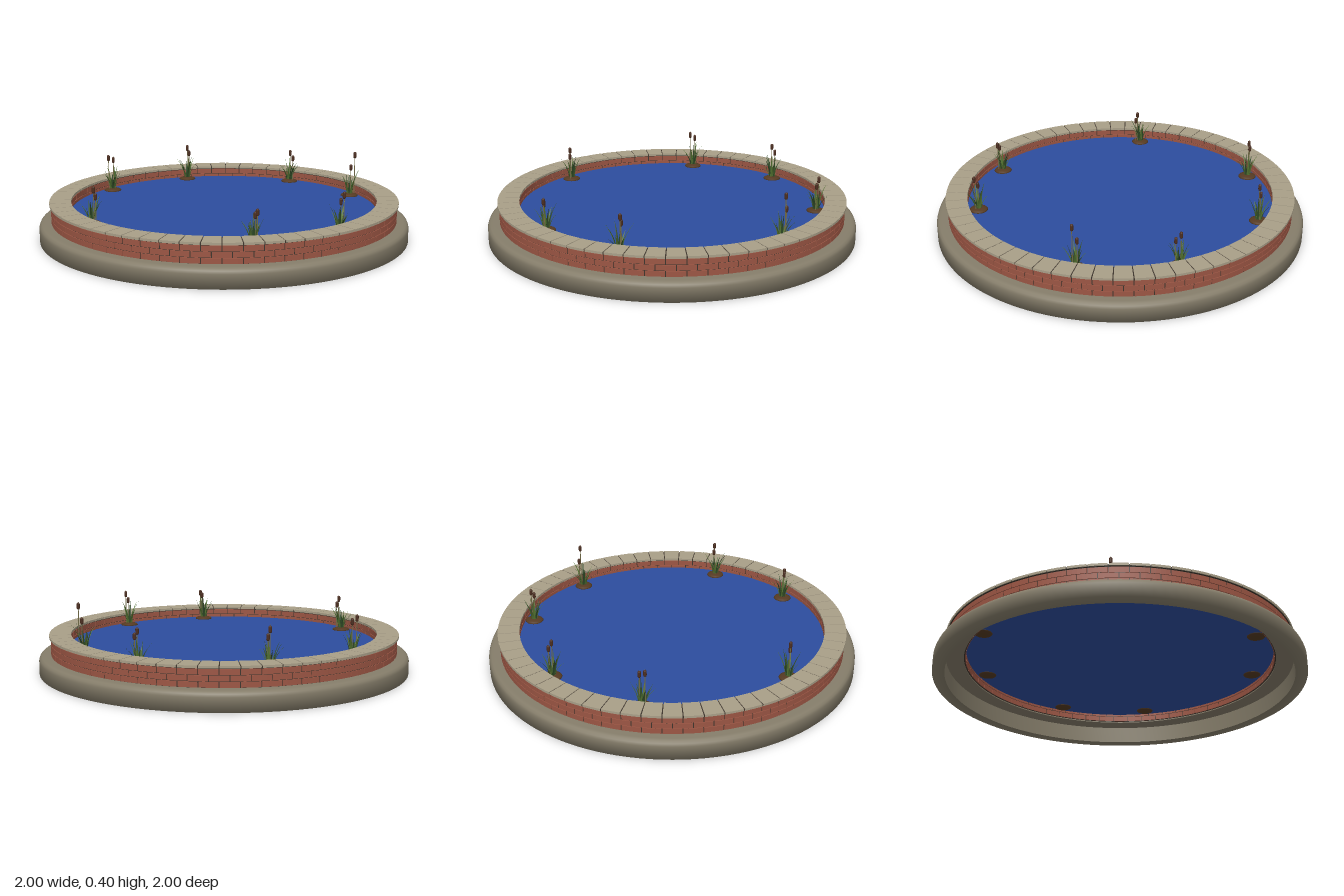
import * as THREE from 'three';
import { mergeGeometries, toCreasedNormals } from 'three/addons/utils/BufferGeometryUtils.js';

const mat = (name, color, side = THREE.FrontSide) =>
  Object.assign(new THREE.MeshStandardMaterial({ color, side }), { name });

// Small seeded number generator
let seed = 7;
const rand = (lo, hi) => {
  seed = (seed * 16807) % 2147483647;
  return lo + (hi - lo) * (seed / 2147483647);
};

// Curved block between two radii and two angles
function arcBlock(r0, r1, y, h, a0, a1) {
  const s = new THREE.Shape();
  s.absarc(0, 0, r1, a0, a1, false);
  s.absarc(0, 0, r0, a1, a0, true);
  const g = new THREE.ExtrudeGeometry(s, { depth: h, bevelEnabled: false, curveSegments: 2 });
  g.rotateX(-Math.PI / 2);
  return g.translate(0, y, 0);
}

// Ring of separate blocks with narrow joints
function blockRing(count, r0, r1, y, h, gap, offset) {
  const step = (Math.PI * 2) / count;
  return Array.from({ length: count }, (_, i) => {
    const a = (i + offset) * step;
    return arcBlock(r0, r1, y, h, a + gap / 2, a + step - gap / 2);
  });
}

const lathe = (pts) => new THREE.LatheGeometry(pts.map(([r, y]) => new THREE.Vector2(r, y)), 120);

// Tapered, folded blade that bends outward along +z
function blade(width, height, reach, angle) {
  const g = new THREE.PlaneGeometry(1, 1, 2, 5);
  const p = g.attributes.position;
  for (let i = 0; i < p.count; i++) {
    const t = p.getY(i) + 0.5;
    const x = p.getX(i) * width * (1 - Math.pow(t, 1.8));
    p.setXYZ(i, x, height * t, 0.012 + reach * t * t + Math.abs(x) * 0.5);
  }
  g.computeVertexNormals();
  return g.rotateY(angle);
}

export function createModel() {
  const model = new THREE.Group();
  const stone = mat('base stone', 0x857d6a);
  const coping = mat('coping stone', 0xa99f88);
  const brick = mat('red brick', 0x9c5644);
  const mortar = mat('dark mortar', 0x3d342c);
  const water = mat('blue water', 0x2d4d9e, THREE.DoubleSide);
  const soil = mat('brown soil', 0x553a22);
  const darkLeaf = mat('dark green leaf', 0x2f4a26, THREE.DoubleSide);
  const lightLeaf = mat('light green leaf', 0x51702f, THREE.DoubleSide);
  const head = mat('cattail brown', 0x4c2e20);
  const stem = mat('stem tan', 0x77704a);

  const add = (parent, name, geo, material) => {
    const m = new THREE.Mesh(geo, material);
    m.name = name;
    parent.add(m);
    return m;
  };

  // Rounded foundation ring, hollow underneath, with a lip below the wall
  add(model, 'foundation', lathe([
    [0.935, 0], [1, 0], [1, 0.072], [0.995, 0.086], [0.985, 0.095], [0.97, 0.1],
    [0.9, 0.1], [0.84, 0.1],
  ]), stone);
  add(model, 'foundationInside', toCreasedNormals(lathe([
    [0.84, 0.1], [0.84, 0.094], [0.935, 0.094], [0.935, 0],
  ]), 0.6), stone);

  // Mortar core shows in the joints of the bricks and coping
  add(model, 'mortarCore', toCreasedNormals(lathe([
    [0.834, 0.1], [0.932, 0.1], [0.932, 0.192], [0.94, 0.192], [0.94, 0.202],
    [0.835, 0.202], [0.834, 0.192], [0.834, 0.1],
  ]), 0.6), mortar);

  // Three staggered brick courses
  const bricks = [];
  for (let row = 0; row < 3; row++) {
    bricks.push(...blockRing(60, 0.83, 0.936, 0.1015 + row * 0.03, 0.027, 0.005, (row % 2) / 2));
  }
  add(model, 'brickWall', mergeGeometries(bricks), brick);

  // Flat coping stones
  add(model, 'copingStones', mergeGeometries(
    blockRing(60, 0.828, 0.944, 0.193, 0.012, 0.006, 0)), coping);

  // Water surface
  const surface = add(model, 'water', new THREE.CircleGeometry(0.834, 96), water);
  surface.rotation.x = -Math.PI / 2;
  surface.position.y = 0.143;

  // Clumps: x, z, then offset x, offset z and top height of each cattail
  const clumps = [
    [-0.235, -0.74, [0, 0.005, 0.36], [0.01, -0.01, 0.325]],
    [0.395, -0.675, [0.005, -0.008, 0.34], [0.02, 0.012, 0.31]],
    [0.72, -0.29, [0.027, -0.005, 0.4], [0.008, -0.02, 0.325]],
    [0.58, 0.51, [0.02, 0, 0.35], [0.005, -0.01, 0.315]],
    [0.145, 0.75, [0.02, 0.015, 0.325], [0.01, 0.01, 0.31]],
    [-0.675, 0.37, [0.015, 0.01, 0.345], [0.025, 0.015, 0.31]],
    [-0.66, -0.41, [-0.02, 0.01, 0.36], [0.005, -0.01, 0.345]],
  ];
  const BASE = 0.145;
  for (const [x, z, ...tails] of clumps) {
    const clump = new THREE.Group();
    clump.name = 'cattailClump';
    clump.position.set(x, BASE, z);
    model.add(clump);

    const mound = add(clump, 'soilMound', new THREE.SphereGeometry(0.05, 16, 8), soil);
    mound.scale.y = 0.28;

    // Leaves in two greens around the clump
    const sets = [[], []];
    const turn = rand(0, 6);
    for (let i = 0; i < 12; i++) {
      const outer = i % 3 !== 0;
      sets[i % 2].push(blade(rand(0.011, 0.016), rand(0.085, 0.15),
        outer ? rand(0.03, 0.065) : rand(0, 0.02), turn + i * 2.4));
    }
    add(clump, 'darkLeaves', mergeGeometries(sets[0]), darkLeaf);
    add(clump, 'lightLeaves', mergeGeometries(sets[1]), lightLeaf);

    // Stems with brown seed heads and a short tip
    for (const [dx, dz, top] of tails) {
      const h = top - BASE;
      const s = add(clump, 'cattailStem', new THREE.CylinderGeometry(0.0022, 0.003, h - 0.01, 6), stem);
      s.position.set(dx, (h - 0.01) / 2, dz);
      const c = add(clump, 'cattailHead', new THREE.CapsuleGeometry(0.0085, 0.02, 3, 10), head);
      c.position.set(dx, h - 0.022, dz);
      const t = add(clump, 'cattailTip', new THREE.ConeGeometry(0.002, 0.01, 6), stem);
      t.position.set(dx, h - 0.003, dz);
    }
  }
  return model;
}
